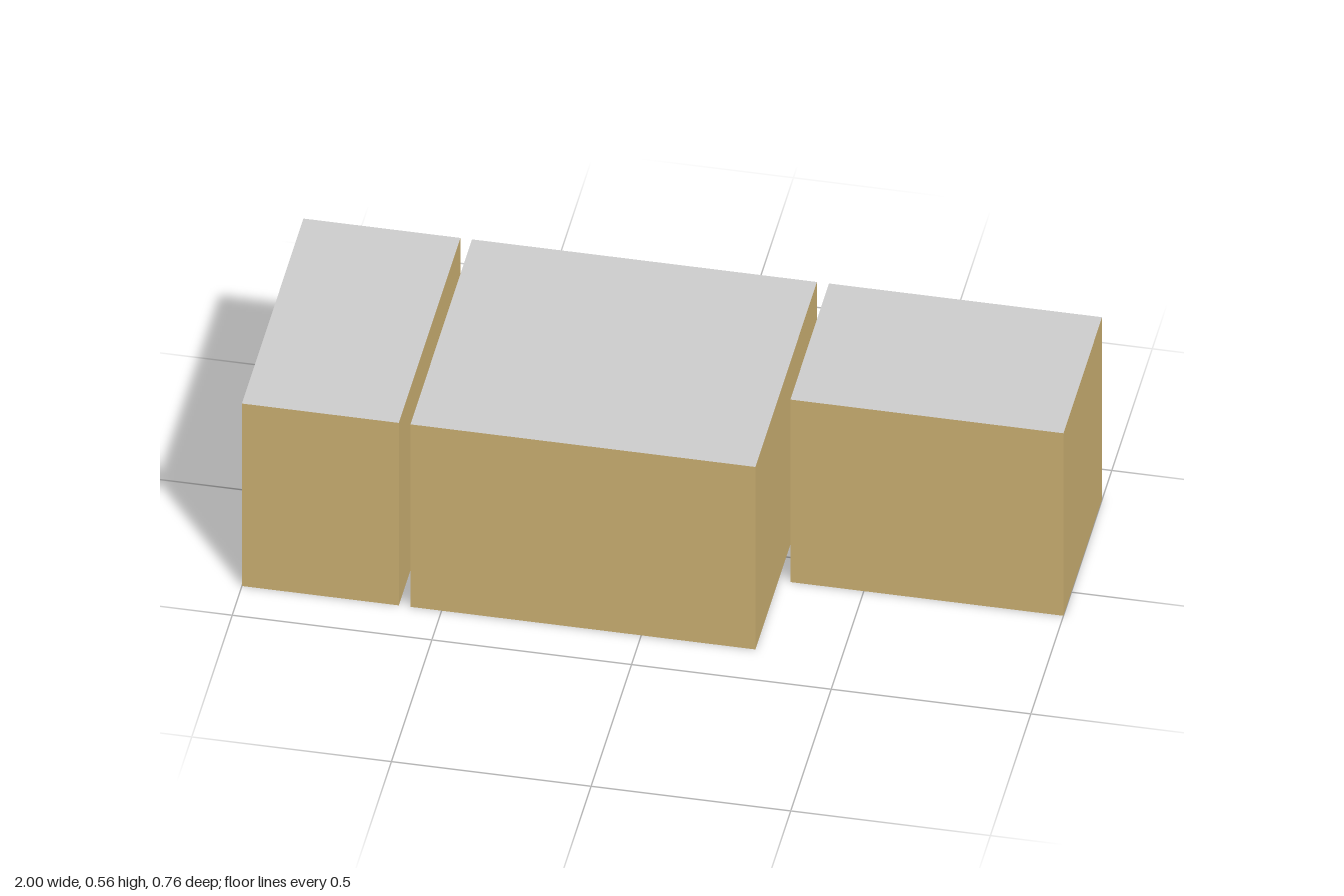
import * as THREE from 'three';

const HEIGHT = 0.565;
const BACK = -0.38;

export function createModel() {
  const group = new THREE.Group();
  group.name = 'buildingRow';

  const wall = new THREE.MeshStandardMaterial({ color: 0xc8ad70 });
  const roof = new THREE.MeshStandardMaterial({ color: 0xcccccc });
  const base = new THREE.MeshStandardMaterial({ color: 0x2c5e10 });
  // Box face order: +x, -x, top, bottom, front, back
  const faces = [wall, wall, roof, base, wall, wall];

  // Blocks share a back line and height: [name, x from, x to, front z]
  const blocks = [
    ['narrowBlock', -1, -0.607, 0.38],
    ['wideBlock', -0.578, 0.286, 0.38],
    ['shallowBlock', 0.316, 1, 0.097],
  ];
  for (const [name, x0, x1, front] of blocks) {
    const block = new THREE.Mesh(new THREE.BoxGeometry(x1 - x0, HEIGHT, front - BACK), faces);
    block.name = name;
    block.position.set((x0 + x1) / 2, HEIGHT / 2, (front + BACK) / 2);
    group.add(block);
  }
  return group;
}
